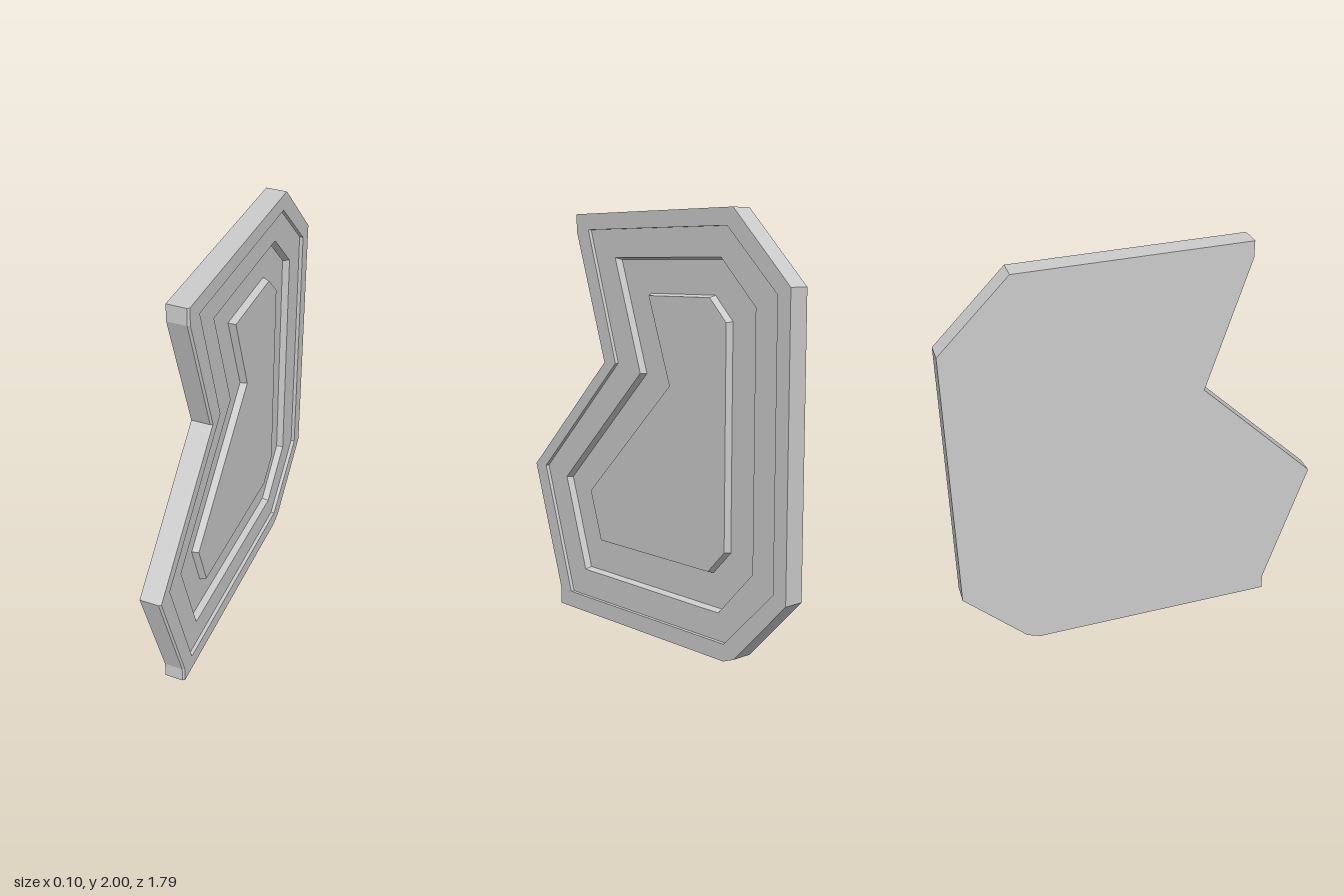
import * as THREE from 'three';

// Loops run counter-clockwise in the plate's own plane; depth is added as z.
const pts = (list) => list.map(([x, y]) => new THREE.Vector2(x, y));

const outline = pts([[-0.525, 2], [-0.525, 1.92], [-0.315, 1.287], [-0.892, 0.716], [-0.684, 0.08], [-0.684, 0],
  [0.525, 0], [0.59, 0.025], [0.893, 0.335], [0.893, 1.668], [0.56, 2]]);
const rimInner = pts([[-0.426, 1.923], [-0.224, 1.287], [-0.798, 0.715], [-0.592, 0.08],
  [0.525, 0.08], [0.82, 0.37], [0.82, 1.637], [0.525, 1.923]]);
const recess = pts([[-0.244, 1.79], [-0.062, 1.25], [-0.642, 0.676], [-0.492, 0.215],
  [0.472, 0.208], [0.682, 0.427], [0.682, 1.58], [0.472, 1.79]]);
const panel = pts([[-0.016, 1.625], [0.131, 1.208], [-0.456, 0.634], [-0.372, 0.38],
  [0.408, 0.375], [0.517, 0.487], [0.517, 1.514], [0.408, 1.625]]);

// Moves every edge of a loop inward by d, with mitred corners
function inset(loop, d) {
  const n = loop.length;
  return loop.map((p, i) => {
    const a = p.clone().sub(loop[(i + n - 1) % n]).normalize();
    const b = loop[(i + 1) % n].clone().sub(p).normalize();
    const na = new THREE.Vector2(-a.y, a.x), nb = new THREE.Vector2(-b.y, b.x);
    return na.clone().add(nb).multiplyScalar(d / (1 + na.dot(nb))).add(p);
  });
}

const material = new THREE.MeshStandardMaterial({ color: 0xcccccc, flatShading: true });

export function createModel() {
  const model = new THREE.Group();
  const plate = new THREE.Group();
  plate.name = 'steppedPlate';
  model.add(plate);

  const add = (name, geometry) => {
    const mesh = new THREE.Mesh(geometry, material);
    mesh.name = name;
    plate.add(mesh);
    return mesh;
  };

  // Wall joining two loops with the same number of corners
  const wall = (name, a, za, b, zb) => {
    const pos = [];
    a.forEach((p, i) => {
      const j = (i + 1) % a.length;
      const A = [p.x, p.y, za], B = [a[j].x, a[j].y, za];
      const C = [b[j].x, b[j].y, zb], D = [b[i].x, b[i].y, zb];
      pos.push(...A, ...B, ...C, ...A, ...C, ...D);
    });
    const g = new THREE.BufferGeometry();
    g.setAttribute('position', new THREE.Float32BufferAttribute(pos, 3));
    g.computeVertexNormals();
    add(name, g);
  };

  // Flat face, with an optional opening
  const face = (name, loop, z, hole) => {
    const shape = new THREE.Shape(loop);
    if (hole) shape.holes.push(new THREE.Path(hole));
    return add(name, new THREE.ShapeGeometry(shape).translate(0, 0, z));
  };

  const back = -0.05, rim = 0.05, ledge = 0.032, floor = 0;

  // Body: flat back, straight sides, small bevel along the notched side
  const bevelled = outline.map((p, i) => new THREE.Vector2(p.x + (i < 6 ? 0.008 : 0), p.y));
  const backFace = new THREE.Shape(outline.map((p) => new THREE.Vector2(-p.x, p.y)));
  add('backFace', new THREE.ShapeGeometry(backFace).rotateY(Math.PI).translate(0, 0, back));
  wall('outerEdge', outline, back, outline, rim - 0.01);
  wall('notchBevel', outline, rim - 0.01, bevelled, rim);

  // Steps from the rim down to the recess, then up to the raised panel
  const recessFoot = inset(recess, 0.01), panelTop = inset(panel, 0.01);
  face('rim', bevelled, rim, rimInner);
  wall('rimStep', rimInner, rim, rimInner, ledge);
  face('ledge', rimInner, ledge, recess);
  wall('recessWall', recess, ledge, recessFoot, floor);
  face('recessFloor', recessFoot, floor, panel);
  wall('panelEdge', panel, floor, panelTop, ledge);
  face('panel', panelTop, ledge);

  // Detailed face looks toward +x
  plate.rotation.y = Math.PI / 2;
  return model;
}
